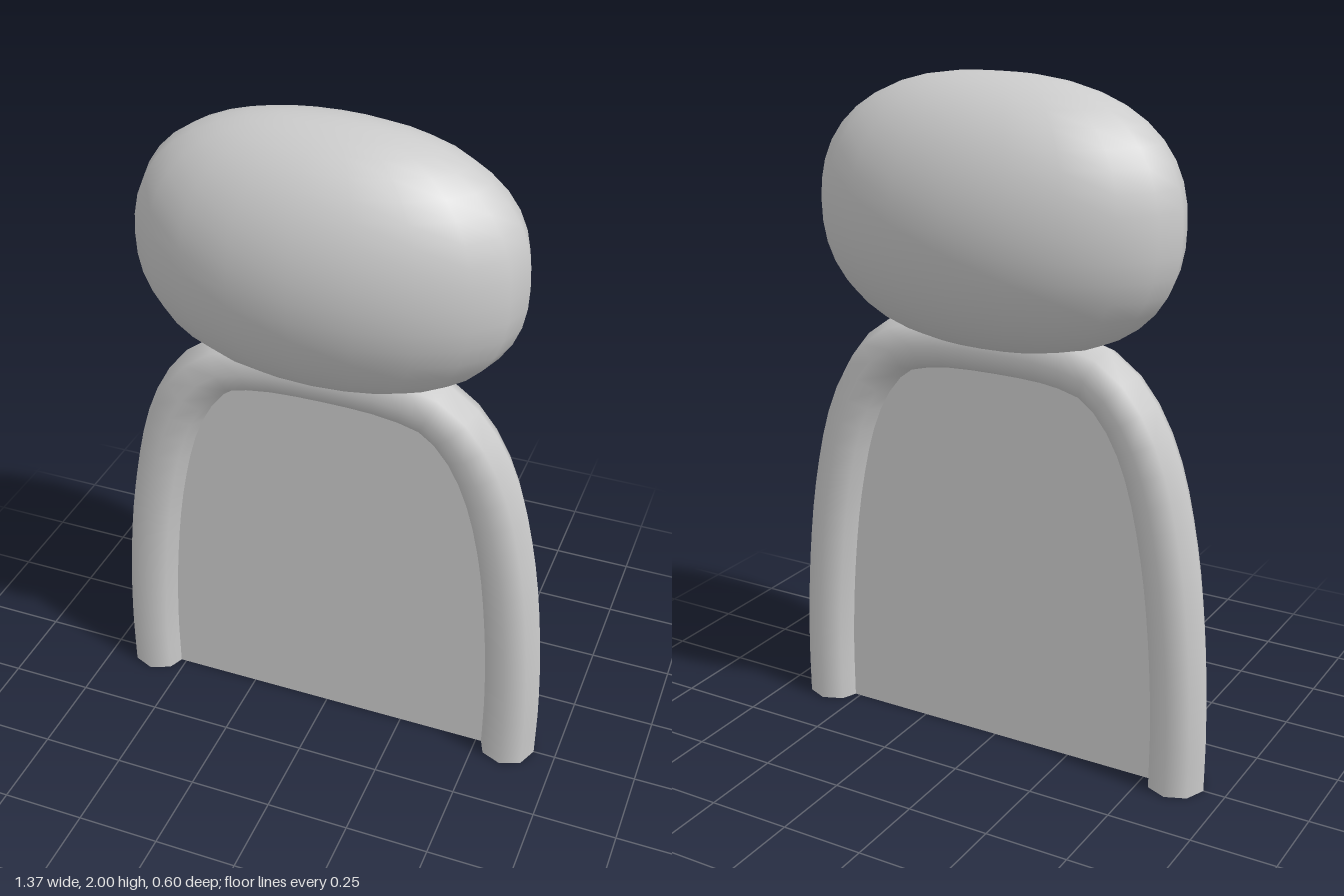
import * as THREE from 'three';
import { mergeVertices } from 'three/addons/utils/BufferGeometryUtils.js';

const material = new THREE.MeshStandardMaterial({ color: 0xcccccc });
const openMaterial = new THREE.MeshStandardMaterial({ color: 0xcccccc, side: THREE.DoubleSide });

// Right half of the arch centre line, from the foot to the crown
const half = [[0.597, 0], [0.597, 0.2], [0.582, 0.46], [0.548, 0.725], [0.49, 0.96], [0.42, 1.1], [0.33, 1.19], [0.21, 1.224]];
const archPoints = [
  ...half.map(([x, y]) => new THREE.Vector3(x, y, 0)),
  new THREE.Vector3(0, 1.235, 0),
  ...half.map(([x, y]) => new THREE.Vector3(-x, y, 0)).reverse(),
];

function part(name, geometry, mat = material) {
  const mesh = new THREE.Mesh(geometry, mat);
  mesh.name = name;
  return mesh;
}

// Egg-like pillow: an ellipsoid widened towards its top and bottom
function cushionGeometry() {
  const n = 2.4;
  let geometry = new THREE.SphereGeometry(1, 20, 20);
  const p = geometry.attributes.position;
  for (let i = 0; i < p.count; i++) {
    const y = Math.min(Math.abs(p.getY(i)), 0.9999);
    const widen = Math.pow(1 - Math.pow(y, n), 1 / n) / Math.sqrt(1 - y * y);
    p.setX(i, p.getX(i) * widen);
  }
  geometry.scale(0.555, 0.385, 0.298);
  geometry.deleteAttribute('uv');
  geometry.deleteAttribute('normal');
  geometry = mergeVertices(geometry, 1e-4);
  geometry.computeVertexNormals();
  return geometry;
}

export function createModel() {
  const group = new THREE.Group();
  group.name = 'backrestWithHeadrest';

  // Bent tube frame with open feet
  const curve = new THREE.CatmullRomCurve3(archPoints);
  group.add(part('tubeFrame', new THREE.TubeGeometry(curve, 40, 0.086, 8, false), openMaterial));

  // Thin panel filling the arch, its edge tucked just inside the tube
  const outline = curve.getSpacedPoints(40).map((p) => new THREE.Vector2(p.x * 0.88, p.y * 0.95));
  const panel = new THREE.ExtrudeGeometry(new THREE.Shape(outline), { depth: 0.03, bevelEnabled: false });
  panel.translate(0, 0, -0.015);
  group.add(part('backPanel', panel));

  // Padded headrest resting on the crown of the arch
  const headrest = part('headrest', cushionGeometry());
  headrest.position.y = 1.615;
  group.add(headrest);

  return group;
}
